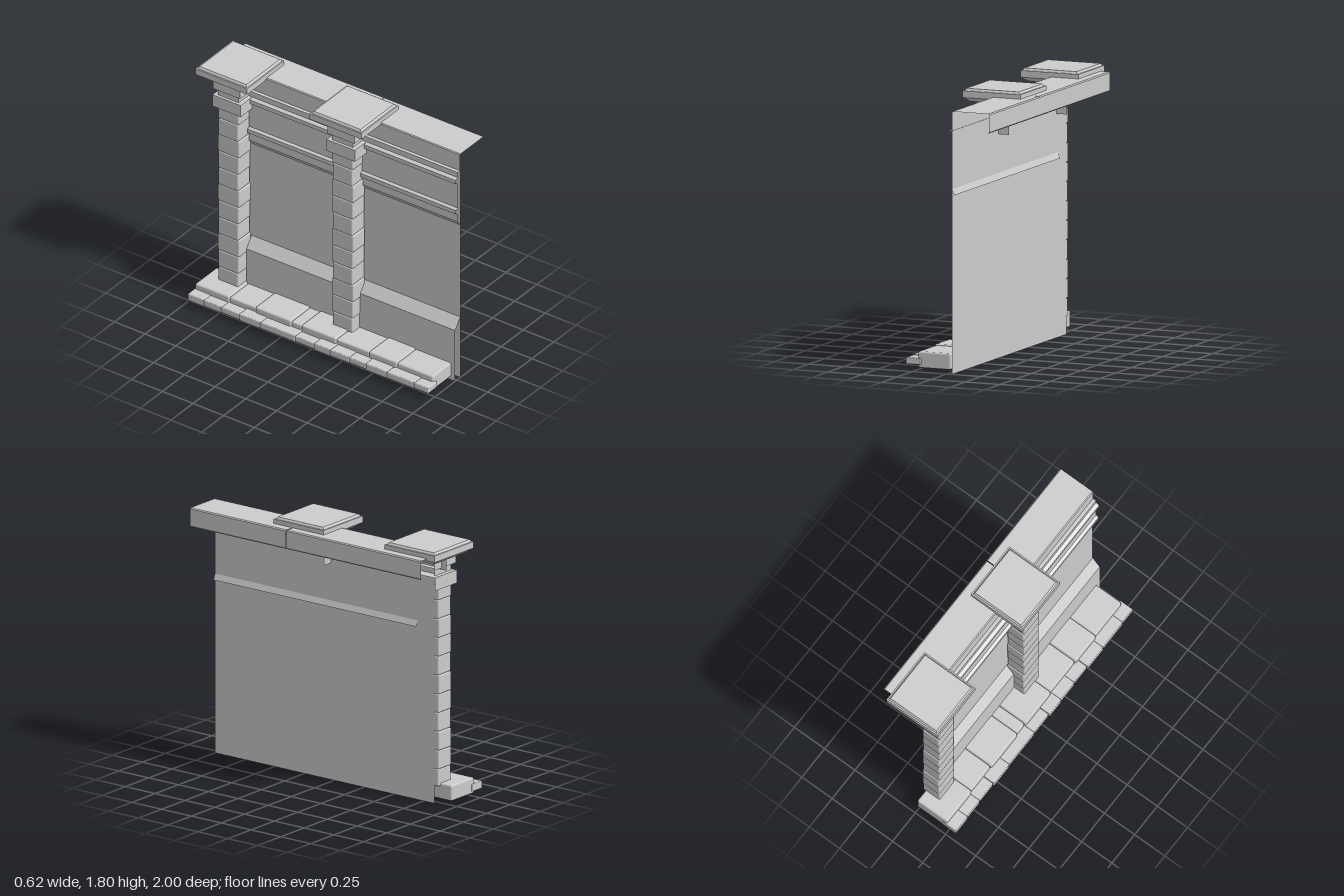
import * as THREE from 'three';
import { RoundedBoxGeometry } from 'three/addons/geometries/RoundedBoxGeometry.js';

const grey = new THREE.MeshStandardMaterial({ color: 0xcccccc });
const greyDouble = new THREE.MeshStandardMaterial({ color: 0xcccccc, side: THREE.DoubleSide });

function add(parent, name, geometry, material = grey) {
  const mesh = new THREE.Mesh(geometry, material);
  mesh.name = name;
  parent.add(mesh);
  return mesh;
}

// Box given by its limits, with slightly worn edges
function stone(parent, name, [x0, x1], [y0, y1], [z0, z1], r = 0.008) {
  const g = new RoundedBoxGeometry(x1 - x0, y1 - y0, z1 - z0, 1, r);
  g.translate((x0 + x1) / 2, (y0 + y1) / 2, (z0 + z1) / 2);
  return add(parent, name, g);
}

// Box given by its limits, open on the +x side where it enters the wall
function openBlock(parent, name, [x0, x1], [y0, y1], [z0, z1]) {
  const g = new THREE.BoxGeometry(x1 - x0, y1 - y0, z1 - z0);
  g.setIndex(Array.from(g.index.array).slice(6));
  g.clearGroups();
  g.translate((x0 + x1) / 2, (y0 + y1) / 2, (z0 + z1) / 2);
  return add(parent, name, g);
}

// Sweeps an xy profile along z with open ends; an upward step faces -x
function strip(parent, name, profile, z0, z1, material = grey) {
  const pos = [];
  for (let i = 0; i < profile.length - 1; i++) {
    const [ax, ay] = profile[i], [bx, by] = profile[i + 1];
    pos.push(ax, ay, z0, ax, ay, z1, bx, by, z1);
    pos.push(ax, ay, z0, bx, by, z1, bx, by, z0);
  }
  const g = new THREE.BufferGeometry();
  g.setAttribute('position', new THREE.Float32BufferAttribute(pos, 3));
  g.computeVertexNormals();
  return add(parent, name, g, material);
}

// Square slab whose sides taper from the lower half width to the upper one
function slab(parent, name, z, y0, y1, half0, half1) {
  const g = new THREE.CylinderGeometry(half1 * Math.SQRT2, half0 * Math.SQRT2, y1 - y0, 4).toNonIndexed();
  g.rotateY(Math.PI / 4);
  g.computeVertexNormals();
  g.translate(0.03, (y0 + y1) / 2, z);
  return add(parent, name, g);
}

function createPillar(z) {
  const pillar = new THREE.Group();
  pillar.name = 'pillar';
  // Stacked bricks with small differences in size
  const joints = [0.12, 0.24, 0.37, 0.5, 0.63, 0.76, 0.89, 1.02, 1.15, 1.28, 1.41, 1.51];
  for (let i = 0; i < joints.length - 1; i++) {
    const w = 0.003 * (i % 3 - 1);
    stone(pillar, 'pillarBrick', [-0.102 + w / 2, 0.035], [joints[i], joints[i + 1]],
      [z - 0.084 - w, z + 0.084 + w]);
  }
  // Capital and neck
  openBlock(pillar, 'capitalBand', [-0.12, 0.115], [1.5, 1.59], [z - 0.115, z + 0.115]);
  openBlock(pillar, 'capitalNeck', [-0.1, 0.08], [1.59, 1.64], [z - 0.084, z + 0.084]);
  openBlock(pillar, 'capitalBlock', [-0.12, 0.11], [1.64, 1.72], [z - 0.11, z + 0.11]);
  // Stepped cap
  slab(pillar, 'capUnderside', z, 1.715, 1.745, 0.17, 0.21);
  slab(pillar, 'capPlate', z, 1.745, 1.79, 0.21, 0.21);
  slab(pillar, 'capTop', z, 1.79, 1.805, 0.2, 0.19);
  return pillar;
}

export function createModel() {
  const model = new THREE.Group();
  model.name = 'wallSection';

  // Thin main wall
  strip(model, 'wall', [[0.038, 0], [0.038, 1.63]], -0.84, 1, greyDouble);

  // Sloped wainscot, moulded frieze and the ledge behind it
  strip(model, 'wainscot', [[-0.02, 0], [-0.02, 0.4], [0.04, 0.48]], -0.7, 1);
  strip(model, 'frieze', [
    [0.04, 1.2], [0.01, 1.24], [0.01, 1.3], [-0.01, 1.31], [-0.01, 1.34], [0.01, 1.35],
    [0.01, 1.54], [-0.015, 1.55], [-0.015, 1.58], [0.01, 1.59], [0.01, 1.63], [0.04, 1.63],
  ], -0.7, 1);
  strip(model, 'backLedge', [[0.038, 1.24], [0.055, 1.2], [0.038, 1.2]], -0.7, 1);

  // Hollow cornice in two lengths
  const cornice = [
    [0.035, 1.628], [0.035, 1.755], [0.042, 1.76], [0.3, 1.76], [0.308, 1.753],
    [0.308, 1.636], [0.3, 1.628], [0.035, 1.628],
  ];
  for (const [z0, z1] of [[-0.94, 0.188], [0.192, 1]]) {
    strip(model, 'cornice', cornice, z0, z1);
    strip(model, 'corniceBack', [[0.037, 1.755], [0.037, 1.63]], z0, z1);
  }
  const end = add(model, 'corniceEnd', new THREE.PlaneGeometry(0.265, 0.125));
  end.position.set(0.172, 1.694, 0.188);

  // Pillars
  for (const z of [-0.79, 0.14]) model.add(createPillar(z));

  // Paving: wide kerb stones, then a lower row of narrow ones
  const kerb = [-0.965, -0.69, -0.475, -0.187, -0.1, 0.18, 0.45, 0.675, 0.965];
  for (let i = 0; i < kerb.length - 1; i++) {
    const d = 0.008 * (i % 2);
    stone(model, 'kerbStone', [-0.235 + d, 0.012], [0.03 - d, 0.14 - d], [kerb[i], kerb[i + 1]], 0.012);
  }
  const edge = [-0.97, -0.84, -0.7, -0.55, -0.38, -0.1, 0.06, 0.19, 0.34, 0.48, 0.65, 0.87, 0.985];
  for (let i = 0; i < edge.length - 1; i++) {
    const d = 0.004 * (i % 3);
    stone(model, 'edgeStone', [-0.313 + d, -0.2], [0.045, 0.098 - d], [edge[i], edge[i + 1]], 0.006);
  }
  return model;
}
